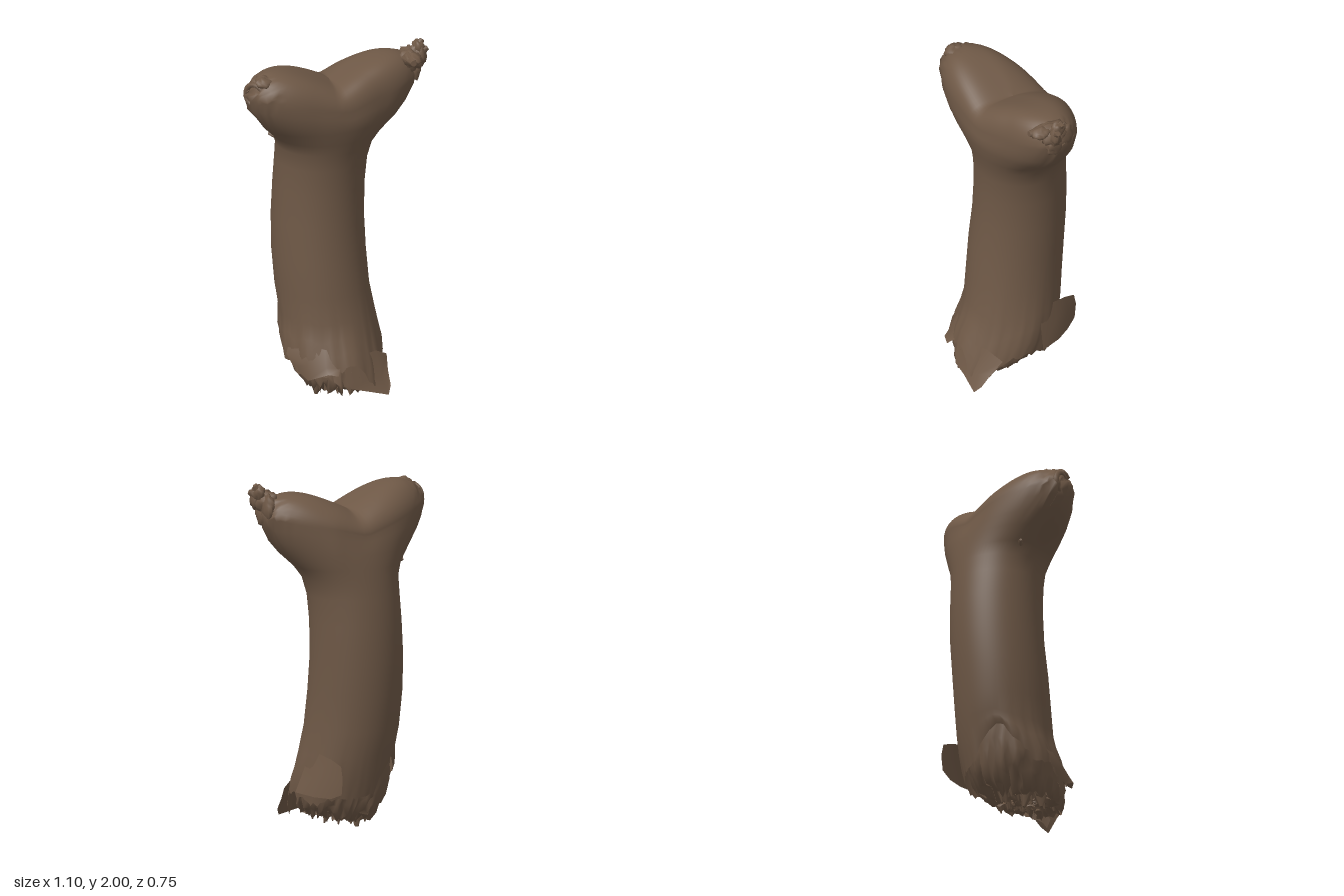
import * as THREE from 'three';

const COLS = 80;
const bark = new THREE.MeshStandardMaterial({ color: 0x6e5846, side: THREE.DoubleSide });
bark.name = 'brown bark';

let seed = 7;
const rnd = () => ((seed = (seed * 16807) % 2147483647) / 2147483647);
const hash = (i, j) => { const s = Math.sin(i * 127.1 + j * 311.7) * 43758.5453; return (s - Math.floor(s)) * 2 - 1; };
const lerp = THREE.MathUtils.lerp;
const bump = (a, c, w) => Math.exp(-(((a - c) / w) ** 2));

// Closed skin of rings, listed from bottom to top
function skin(rows, point) {
  const pos = [], idx = [];
  for (let i = 0; i < rows; i++)
    for (let j = 0; j < COLS; j++) pos.push(...point(i, (j / COLS) * Math.PI * 2, j));
  for (let i = 0; i < rows - 1; i++)
    for (let j = 0; j < COLS; j++) {
      const a = i * COLS + j, b = i * COLS + ((j + 1) % COLS), c = a + COLS, d = b + COLS;
      idx.push(a, c, b, b, c, d);
    }
  return surface(pos, idx);
}

function surface(pos, idx) {
  const g = new THREE.BufferGeometry();
  g.setAttribute('position', new THREE.Float32BufferAttribute(pos, 3));
  g.setIndex(idx);
  g.computeVertexNormals();
  return g;
}

// Ellipse filling the box x0..x1, z0..z1
const ring = ([, x0, x1, z0, z1], a) => [
  (x0 + x1) / 2 + ((x1 - x0) / 2) * Math.cos(a),
  (z0 + z1) / 2 + ((z1 - z0) / 2) * Math.sin(a),
];

// Trunk sections: y, x0, x1, z0, z1
const TRUNK = [
  [0.2, -0.305, 0.25, -0.26, 0.315], [0.28, -0.312, 0.258, -0.28, 0.288], [0.36, -0.3, 0.252, -0.297, 0.252],
  [0.45, -0.29, 0.242, -0.315, 0.227], [0.6, -0.3, 0.222, -0.342, 0.203], [0.8, -0.308, 0.215, -0.363, 0.177],
  [1.0, -0.302, 0.215, -0.376, 0.152], [1.2, -0.292, 0.22, -0.372, 0.147], [1.35, -0.288, 0.232, -0.358, 0.155],
  [1.45, -0.292, 0.258, -0.345, 0.172], [1.52, -0.325, 0.31, -0.335, 0.197], [1.6, -0.408, 0.39, -0.32, 0.215],
  [1.68, -0.473, 0.447, -0.308, 0.22], [1.75, -0.52, 0.48, -0.298, 0.218], [1.81, -0.537, 0.502, -0.288, 0.213],
];
const CAP = 18;

// Saddle line along the top, lowest at a slanted crease
function ridge(x, z) {
  const u = x + 0.02 + 0.2 * z;
  return 1.83 + (u > 0 ? 0.12 : 0.135) * Math.sin(Math.min(Math.abs(u) / 0.43, 1) * Math.PI / 2);
}

function trunkPoint(i, a, j) {
  const s = TRUNK[Math.min(i, TRUNK.length - 1)];
  let [x, z] = ring(s, a);
  let y = s[0];
  // torn lower edge: long tongue in front, stripped high at the back
  if (i < 4) {
    const f = 1 - i / 4, tongue = bump(a, 1.1, 0.32);
    const strip = 0.19 * bump(a, 4.05, 0.6);
    y += f * (0.02 * hash(j, 3) + 0.025 * Math.sin(a * 5) - 0.12 * tongue - 0.06 * bump(a, 2.8, 0.15) + strip);
    z += f * 0.05 * tongue - f * 0.12 * strip;
    x *= 1 + f * 0.03 * hash(j, 8);
  }
  // fork: the rim stays low in the middle and rises to the two stubs
  if (y > 1.55) {
    y = y > 1.6 ? 1.6 + (y - 1.6) * lerp(0.45, 1, Math.min(1, Math.abs(x) / 0.48)) : y;
    z += 0.06 * Math.max(0, Math.abs(x) - 0.2) + 0.1 * Math.max(0, x - 0.2);
  }
  // domed top, blunt at the stubs and sloping away at the back
  if (i >= TRUNK.length) {
    const k = Math.cos(((i - TRUNK.length + 1) / CAP) * Math.PI / 2);
    const power = 4 + 2 * Math.cos(a) ** 4 + 2.1 * Math.min(0, Math.sin(a));
    x = lerp(-0.01, x, k);
    z = lerp(-0.04, z, k);
    y = lerp(y, ridge(x, z), Math.sqrt(1 - k ** power));
  }
  // rough broken stub ends
  const rough = Math.max(0, Math.abs(x) - 0.4) * 0.12;
  return [x + rough * hash(i, j), y + rough * hash(j, i + 5), z + rough * hash(i + 9, j)];
}

// Splintered wood core: y, x0, x1, z0, z1
const CORE = [
  [0.06, -0.21, 0.14, -0.14, 0.31], [0.1, -0.24, 0.17, -0.19, 0.315], [0.15, -0.255, 0.19, -0.225, 0.3],
  [0.2, -0.27, 0.205, -0.245, 0.285], [0.26, -0.28, 0.215, -0.262, 0.265], [0.32, -0.275, 0.215, -0.275, 0.24],
  [0.38, -0.27, 0.21, -0.285, 0.22], [0.46, -0.26, 0.2, -0.29, 0.2],
];
const FLOOR = 7;
function corePoint(i, a, j) {
  const s = CORE[Math.max(0, i - FLOOR)];
  let [x, z] = ring(s, a);
  const k = Math.min(1, i / FLOOR);
  const n = i < 1 ? 0 : Math.max(0.4, 1 - Math.max(0, i - FLOOR) / 8);
  x = lerp(-0.03, x, k) + n * 0.014 * hash(i, j);
  z = lerp(0.09, z, k) + n * 0.014 * hash(j, i);
  const y = s[0] + 0.025 + n * 0.035 * hash(i + 4, j) + 0.12 * Math.max(0, x) * (1 - Math.max(0, i - FLOOR) / 8);
  return [x, Math.max(0.015, y), z];
}

// Thin curled sheet through rows of points
function sheet(rows) {
  const w = rows[0].length, idx = [];
  for (let i = 0; i < rows.length - 1; i++)
    for (let j = 0; j < w - 1; j++) {
      const a = i * w + j;
      idx.push(a, a + 1, a + w, a + 1, a + w + 1, a + w);
    }
  return surface(rows.flat(2), idx);
}

export function createModel() {
  const model = new THREE.Group();
  const group = (name) => {
    const g = new THREE.Group();
    g.name = name;
    model.add(g);
    return g;
  };
  const add = (name, geo, parent = model) => {
    const m = new THREE.Mesh(geo, bark);
    m.name = name;
    parent.add(m);
    return m;
  };
  // Tapered splinter from one point to another
  const splinter = (name, from, to, r, tip, parent) => {
    const a = new THREE.Vector3(...from), b = new THREE.Vector3(...to), d = b.clone().sub(a);
    const m = add(name, new THREE.CylinderGeometry(tip, r, d.length(), 6, 1), parent);
    m.position.copy(a).add(b).multiplyScalar(0.5);
    m.quaternion.setFromUnitVectors(new THREE.Vector3(0, 1, 0), d.normalize());
  };
  // Lumpy torn shred with the given centre and half sizes
  const shred = (name, c, r, parent) => {
    const g = new THREE.SphereGeometry(1, 16, 12), p = g.attributes.position;
    for (let i = 0; i < p.count; i++) {
      const v = new THREE.Vector3().fromBufferAttribute(p, i);
      const f = 1 + 0.2 * Math.sin(v.x * 5 + c[0] * 90) * Math.cos(v.y * 4 + v.z * 5 + c[1] * 70);
      p.setXYZ(i, v.x * f * r[0], v.y * f * r[1], v.z * f * r[2]);
    }
    g.computeVertexNormals();
    add(name, g, parent).position.set(...c);
  };

  add('forkedTrunk', skin(TRUNK.length + CAP, trunkPoint));
  add('splinteredCore', skin(FLOOR + CORE.length, corePoint));

  // Splinters under the broken base
  const base = group('baseSplinters');
  for (let n = 0; n < 20; n++) {
    const a = rnd() * Math.PI * 2, r = Math.sqrt(rnd());
    const x = -0.04 + 0.16 * r * Math.cos(a), z = 0.08 + 0.21 * r * Math.sin(a);
    const y = 0.02 + rnd() * 0.04 + Math.max(0, x) * 0.2;
    splinter('baseSplinter', [x, 0.12, z], [x + 0.03 * (rnd() - 0.5), y, z + 0.02], 0.022, 0.004, base);
  }
  splinter('baseSplinter', [-0.14, 0.1, 0.02], [-0.13, 0, 0.01], 0.045, 0.01, base);
  splinter('baseSplinter', [-0.16, 0.1, 0.1], [-0.17, 0.01, 0.1], 0.045, 0.01, base);

  // Loose bark flaps around the base
  add('sideBarkFlap', sheet([
    [[0.228, 0.51, -0.05], [0.225, 0.47, -0.13], [0.212, 0.45, -0.23], [0.2, 0.42, -0.305]],
    [[0.25, 0.37, -0.02], [0.245, 0.36, -0.14], [0.215, 0.35, -0.25], [0.2, 0.35, -0.32]],
    [[0.295, 0.24, 0.0], [0.265, 0.23, -0.14], [0.225, 0.23, -0.24], [0.2, 0.26, -0.31]],
  ]));
  add('frontBarkTongue', sheet([
    [[-0.1, 0.24, 0.28], [0.02, 0.27, 0.285], [0.12, 0.27, 0.262], [0.21, 0.22, 0.225]],
    [[-0.09, 0.14, 0.315], [0.02, 0.13, 0.325], [0.12, 0.13, 0.325], [0.185, 0.15, 0.285]],
    [[-0.07, 0.1, 0.33], [0.01, 0.075, 0.34], [0.14, 0.04, 0.375], [0.17, 0.08, 0.345]],
  ]));
  add('cornerBarkFlap', sheet([
    [[-0.295, 0.33, 0.02], [-0.25, 0.33, 0.14], [-0.18, 0.32, 0.22], [-0.1, 0.3, 0.25]],
    [[-0.325, 0.26, 0.04], [-0.275, 0.23, 0.18], [-0.2, 0.23, 0.27], [-0.12, 0.22, 0.29]],
    [[-0.3, 0.19, 0.08], [-0.27, 0.14, 0.19], [-0.2, 0.2, 0.3], [-0.15, 0.19, 0.325]],
  ]));

  // Torn shreds on the left stub: centre, half sizes
  const leftStub = group('leftStubShreds');
  [
    [[0.45, 1.89, 0.06], [0.065, 0.065, 0.085]], [[0.5, 1.95, 0.065], [0.03, 0.045, 0.045]],
    [[0.43, 1.92, 0.13], [0.05, 0.03, 0.06]], [[0.5, 1.91, 0.09], [0.035, 0.06, 0.03]],
    [[0.48, 1.87, 0.0], [0.03, 0.07, 0.05]], [[0.47, 1.82, 0.06], [0.03, 0.06, 0.06]],
  ].forEach(([c, r]) => shred('leftStubShred', c, r, leftStub));
  splinter('leftStubTip', [0.46, 1.9, 0.06], [0.525, 1.995, 0.065], 0.05, 0.014, leftStub);
  splinter('leftStubTip', [0.46, 1.9, 0.07], [0.54, 1.955, 0.1], 0.045, 0.014, leftStub);
  splinter('leftStubTip', [0.42, 1.91, 0.1], [0.4, 1.92, 0.195], 0.045, 0.018, leftStub);

  // Ragged lip and small knots on the right stub
  const rightStub = group('rightStubKnots');
  const lip = add('rightStubLip', new THREE.TorusGeometry(0.062, 0.016, 6, 20), rightStub);
  lip.position.set(-0.5, 1.84, -0.005);
  lip.rotation.set(0, -Math.PI / 2 + 0.45, 0.1);
  shred('rightStubKnot', [-0.45, 1.91, 0.01], [0.05, 0.035, 0.06], rightStub);
  splinter('twigStump', [-0.27, 1.5, -0.12], [-0.33, 1.52, -0.16], 0.025, 0.008);
  return model;
}
